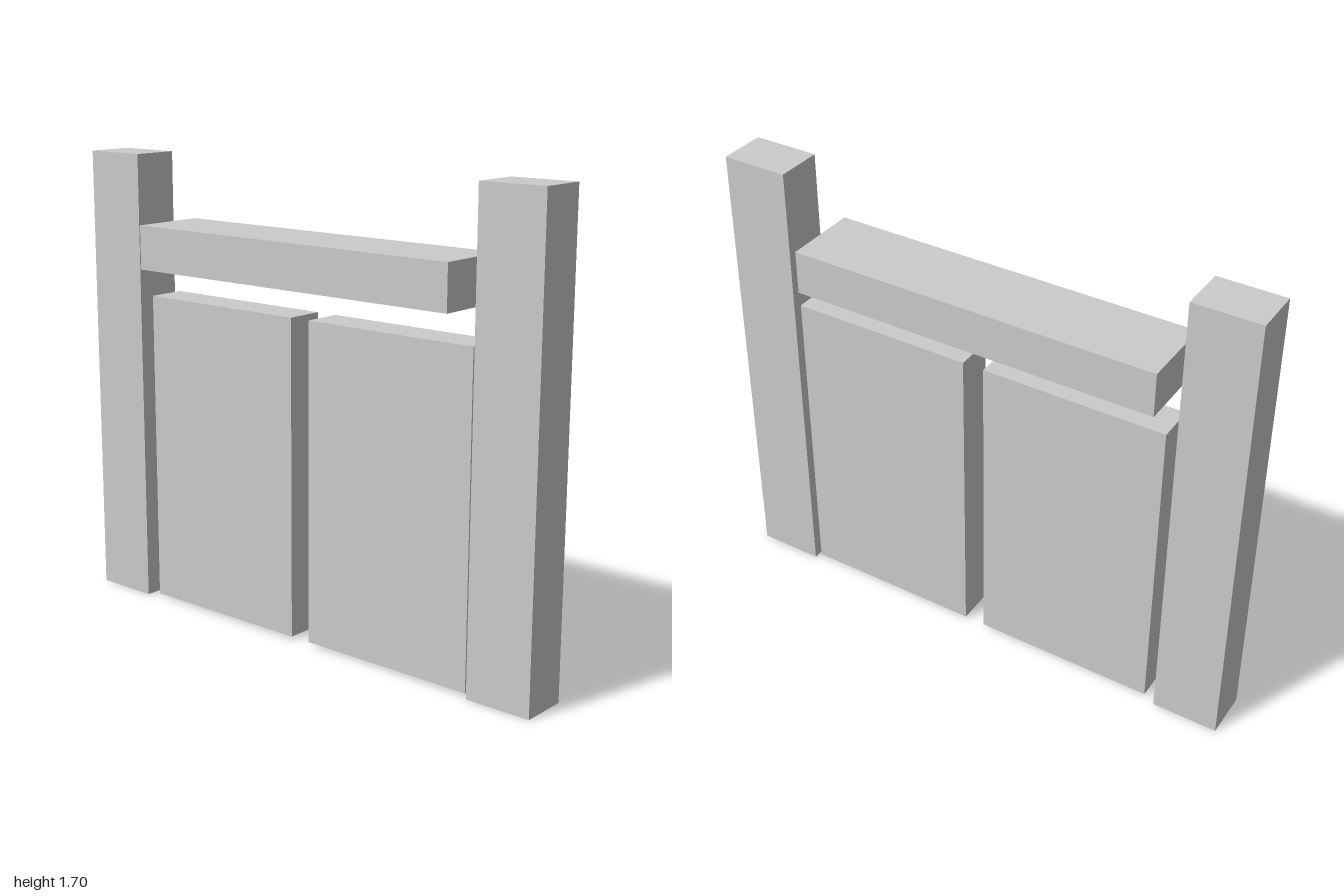
import * as THREE from 'three';

const material = new THREE.MeshStandardMaterial({ color: 0xcccccc, flatShading: true });

// Box between x0..x1 and y0..y1, centred in depth
function block(name, x0, x1, y0, y1, depth) {
  const mesh = new THREE.Mesh(new THREE.BoxGeometry(x1 - x0, y1 - y0, depth), material);
  mesh.position.set((x0 + x1) / 2, (y0 + y1) / 2, 0);
  mesh.name = name;
  return mesh;
}

export function createModel() {
  const gate = new THREE.Group();
  gate.name = 'gate';
  gate.add(
    // Side posts
    block('rightPost', -1, -0.756, 0, 1.7, 0.176),
    block('leftPost', 0.754, 1, 0, 1.7, 0.176),
    // Pair of door panels, slightly clear of the ground
    block('rightDoor', -0.71, -0.026, 0.01, 1.18, 0.142),
    block('leftDoor', 0.054, 0.738, 0.01, 1.18, 0.142),
    // Beam above the doors
    block('crossBeam', -0.694, 0.684, 1.288, 1.45, 0.284),
  );
  return gate;
}
